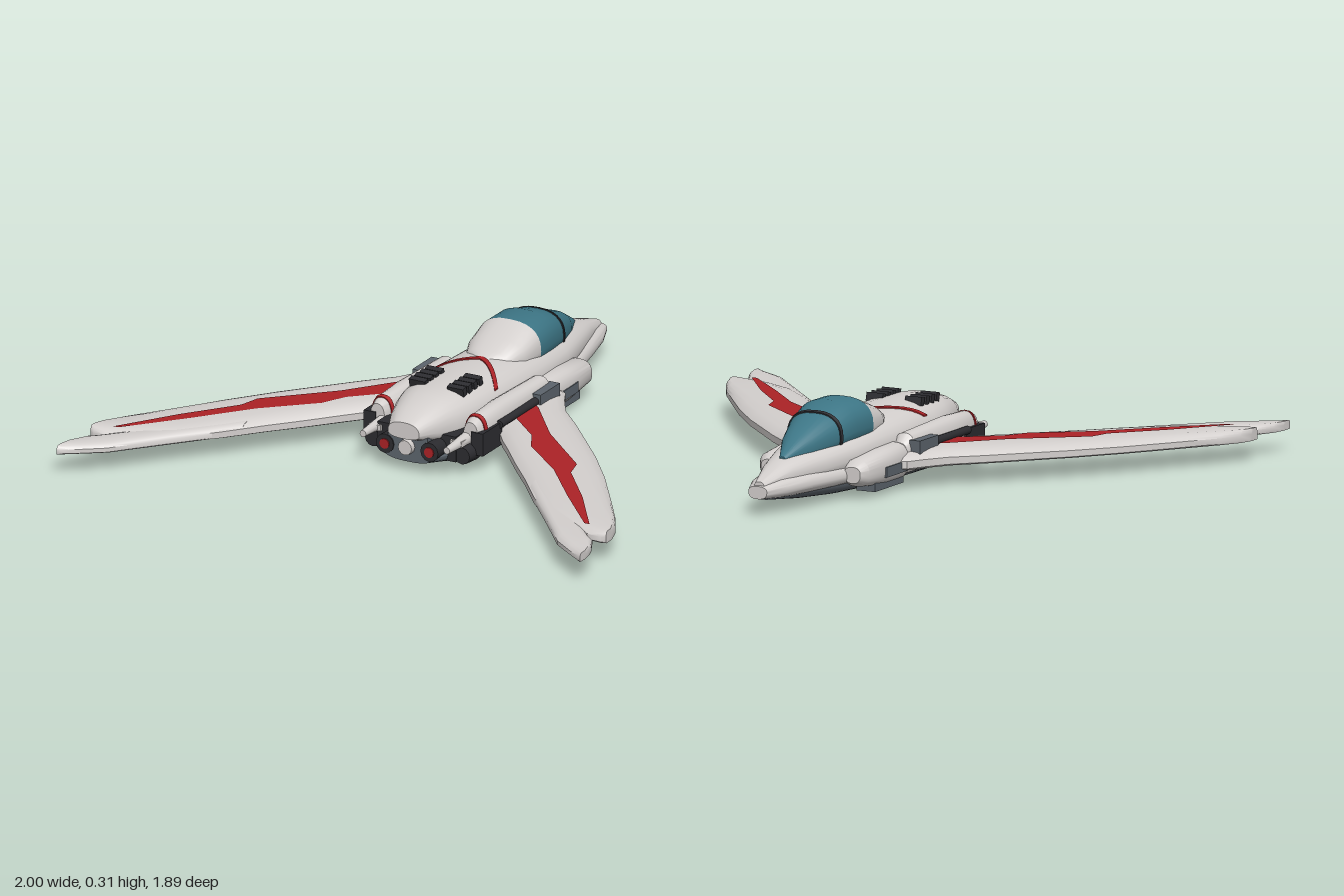
import * as THREE from 'three';
import { toCreasedNormals } from 'three/addons/utils/BufferGeometryUtils.js';

const paint = (name, color, side = THREE.FrontSide) => {
  const m = new THREE.MeshStandardMaterial({ color, side });
  m.name = name;
  return m;
};

// Skin a list of rings (arrays of [x, y, z]) and close both ends.
function loft(rings, crease = 0.6) {
  const n = rings[0].length, pos = rings.flat(2), idx = [];
  for (let i = 0; i < rings.length - 1; i++)
    for (let j = 0; j < n; j++) {
      const a = i * n + j, b = i * n + (j + 1) % n;
      idx.push(a, b, a + n, b, b + n, a + n);
    }
  const last = (rings.length - 1) * n;
  for (let j = 1; j < n - 1; j++) idx.push(0, j + 1, j, last, last + j, last + j + 1);
  const g = new THREE.BufferGeometry();
  g.setAttribute('position', new THREE.Float32BufferAttribute(pos, 3));
  g.setIndex(idx);
  return toCreasedNormals(g, crease);
}

// Body sections are [z, halfWidth, bottom, middle, top], rounded as a superellipse.
const POWER = 2.5;
function bodyRing([z, w, bottom, mid, top], cx = 0, sides = 28) {
  return Array.from({ length: sides }, (_, k) => {
    const a = k / sides * Math.PI * 2, c = Math.cos(a), s = Math.sin(a);
    const r = v => Math.sign(v) * Math.abs(v) ** (2 / POWER);
    return [cx + w * r(c), mid + r(s) * (s > 0 ? top - mid : mid - bottom), z];
  });
}
const body = (sections, cx = 0) => loft(sections.map(s => bodyRing(s, cx)));

function sectionAt(sections, z) {
  let i = 0;
  while (i < sections.length - 2 && z > sections[i + 1][0]) i++;
  const a = sections[i], b = sections[i + 1], t = (z - a[0]) / (b[0] - a[0]);
  return a.map((v, k) => v + (b[k] - v) * t);
}
function topOf(sections, x, z) {
  const [, w, , mid, top] = sectionAt(sections, z);
  return mid + (top - mid) * Math.max(0, 1 - Math.abs(x / w) ** POWER) ** (1 / POWER);
}

// Mirrored copy across x with the corner order restored.
function mirror(geo) {
  const g = geo.index ? geo.toNonIndexed() : geo.clone();
  g.scale(-1, 1, 1);
  for (const a of [g.attributes.position, g.attributes.normal])
    for (let i = 0; i < a.count; i += 3) {
      const p = [a.getX(i), a.getY(i), a.getZ(i)];
      a.setXYZ(i, a.getX(i + 2), a.getY(i + 2), a.getZ(i + 2));
      a.setXYZ(i + 2, ...p);
    }
  return g;
}

const wingTop = x => 0.13 - 0.02 * x;

// Wing stations are [x, leadingZ, trailingZ]; flat-topped profile with rounded edges.
function wing(stations, bottom, drop) {
  const profile = [[0, 0.55], [0.05, 0.75], [0.13, 0.9], [0.25, 1], [0.78, 1], [0.88, 0.9],
    [0.95, 0.75], [1, 0.55], [1, 0.12], [0.95, 0], [0.05, 0], [0, 0.12]];
  return loft(stations.map(([x, l, t]) => profile.map(([u, h]) =>
    [x, bottom + h * (wingTop(x) - drop - bottom), l + (t - l) * u])));
}

export function createModel() {
  const model = new THREE.Group();
  model.name = 'starfighter';
  const white = paint('hullWhite', 0xd3cfcd);
  const red = paint('stripeRed', 0xab2226, THREE.DoubleSide);
  const glass = paint('canopyTeal', 0x3d7686);
  const slate = paint('bellySlate', 0x5c646c);
  const dark = paint('engineDark', 0x2c2c30);

  const add = (name, geo, mat) => {
    const m = new THREE.Mesh(geo, mat);
    m.name = name;
    model.add(m);
  };
  const pair = (name, geo, mat) => {
    add(name + 'Left', geo, mat);
    add(name + 'Right', mirror(geo), mat);
  };
  const box = (w, h, d, x, y, z) => new THREE.BoxGeometry(w, h, d).translate(x, y, z);
  const rod = (r1, r2, len, x, y, z) =>
    new THREE.CylinderGeometry(r1, r2, len, 12).rotateX(Math.PI / 2).translate(x, y, z);

  // Fuselage: upper shell, wide lower rim and dark belly
  const upper = [[-0.935, 0.02, 0.08, 0.09, 0.112], [-0.8, 0.062, 0.07, 0.11, 0.158],
    [-0.65, 0.105, 0.07, 0.12, 0.185], [-0.5, 0.142, 0.06, 0.13, 0.205], [-0.3, 0.157, 0.06, 0.13, 0.228],
    [-0.1, 0.16, 0.06, 0.13, 0.237], [0.05, 0.156, 0.06, 0.13, 0.239], [0.15, 0.142, 0.07, 0.13, 0.238],
    [0.22, 0.122, 0.08, 0.13, 0.232], [0.3, 0.092, 0.1, 0.14, 0.21], [0.368, 0.06, 0.125, 0.145, 0.183]];
  add('upperFuselage', body(upper), white);
  add('lowerRim', body([[-0.945, 0.035, 0.055, 0.08, 0.098], [-0.86, 0.07, 0.047, 0.08, 0.115],
    [-0.74, 0.1, 0.042, 0.08, 0.125], [-0.56, 0.14, 0.04, 0.08, 0.13], [-0.4, 0.162, 0.035, 0.08, 0.13],
    [-0.2, 0.2, 0.035, 0.08, 0.13], [0.1, 0.2, 0.035, 0.08, 0.13], [0.22, 0.175, 0.04, 0.08, 0.13]]), white);
  add('belly', body([[-0.9, 0.03, 0.046, 0.065, 0.08], [-0.74, 0.08, 0.026, 0.065, 0.08],
    [-0.55, 0.12, 0.01, 0.06, 0.08], [-0.3, 0.16, 0, 0.06, 0.08], [0, 0.18, 0.004, 0.06, 0.08],
    [0.22, 0.15, 0.01, 0.06, 0.08], [0.34, 0.09, 0.035, 0.06, 0.08]]), slate);

  // Canopy glass, rear fairing and frame bar
  const canopy = [[-0.77, 0.012, 0.13, 0.155, 0.17], [-0.66, 0.062, 0.14, 0.18, 0.235],
    [-0.54, 0.1, 0.15, 0.2, 0.284], [-0.45, 0.115, 0.15, 0.215, 0.311], [-0.35, 0.12, 0.15, 0.215, 0.309],
    [-0.26, 0.11, 0.15, 0.21, 0.275], [-0.2, 0.085, 0.15, 0.2, 0.25], [-0.165, 0.04, 0.15, 0.2, 0.235]];
  add('canopyGlass', body(canopy.slice(0, 5)), glass);
  add('canopyFairing', body(canopy.slice(4)), white);
  add('canopyBar', body([-0.546, -0.534].map(z => {
    const s = sectionAt(canopy, z);
    return [z, s[1] + 0.004, s[2], s[3], s[4] + 0.004];
  })), dark);

  // Red chevron draped over the back
  const chevron = [];
  for (let i = 0; i <= 16; i++) {
    const x = (i / 8 - 1) * 0.137, z = -0.168 + 0.14 * (Math.abs(x) / 0.137) ** 1.3;
    const drape = (dz, lift) => [x, topOf(upper, x, z + dz) + lift, z + dz];
    chevron.push([drape(0, 0.004), drape(0.024, 0.004), drape(0.024, -0.003), drape(0, -0.003)]);
  }
  add('backChevron', loft(chevron), red);

  // Cooling vents
  for (let i = 0; i < 4; i++) {
    const z = 0.028 + i * 0.036;
    const g = box(0.062, 0.03, 0.022, 0, 0, 0).rotateX(0.25).translate(0.073, 0.234, z);
    pair('vent' + (i + 1), g, dark);
  }

  // Side nacelles, front pods and bands
  const nacelle = [[-0.27, 0.025, 0.05, 0.11, 0.15], [-0.24, 0.042, 0.045, 0.11, 0.18],
    [0.05, 0.045, 0.04, 0.11, 0.19], [0.19, 0.04, 0.05, 0.11, 0.185], [0.23, 0.028, 0.06, 0.11, 0.17]];
  pair('sideNacelle', body(nacelle, 0.178), white);
  pair('nacelleBand', body([0.185, 0.2].map(z => {
    const s = sectionAt(nacelle, z);
    return [z, s[1] + 0.003, s[2], s[3], s[4] + 0.003];
  }), 0.178), red);
  pair('frontPod', body([[-0.57, 0.03, 0.06, 0.09, 0.115], [-0.54, 0.05, 0.045, 0.09, 0.135],
    [-0.4, 0.055, 0.03, 0.09, 0.15], [-0.28, 0.055, 0.03, 0.09, 0.155], [-0.22, 0.04, 0.04, 0.09, 0.14]], 0.157), white);
  pair('podPanel', box(0.02, 0.035, 0.15, 0.205, 0.08, -0.36), slate);
  pair('podKeel', box(0.07, 0.03, 0.2, 0.16, 0.035, -0.38), slate);

  // Wing root machinery
  pair('rootBlockFront', box(0.04, 0.07, 0.13, 0.225, 0.125, -0.19), slate);
  pair('rootBlockRear', box(0.045, 0.08, 0.13, 0.205, 0.1, 0.17), dark);
  pair('rootPipe', rod(0.014, 0.014, 0.3, 0.225, 0.135, -0.03), dark);

  // Swept wings, each with a main blade and a trailing blade
  pair('mainWing', wing([[0.15, -0.36, 0.06], [0.23, -0.32, 0.12], [0.26, -0.26, 0.16], [0.31, -0.18, 0.215],
    [0.4, -0.09, 0.32], [0.5, 0.02, 0.43], [0.6, 0.13, 0.55], [0.72, 0.28, 0.67], [0.84, 0.45, 0.73],
    [0.93, 0.58, 0.75], [0.97, 0.65, 0.75], [0.985, 0.7, 0.742]], 0.068, 0), white);
  pair('trailingWing', wing([[0.55, 0.3, 0.49], [0.72, 0.55, 0.685], [0.81, 0.65, 0.79], [0.86, 0.69, 0.85],
    [0.93, 0.765, 0.9], [0.96, 0.79, 0.92], [0.99, 0.85, 0.94], [1, 0.9, 0.945]], 0.072, 0.007), white);

  // Wing stripes on both faces, tapering towards the tips
  const outline = [[0.225, -0.115], [0.25, -0.1], [0.4, 0.085], [0.61, 0.275], [0.63, 0.35], [0.77, 0.52],
    [0.91, 0.72], [0.89, 0.72], [0.72, 0.535], [0.57, 0.36], [0.4, 0.215], [0.355, 0.13], [0.225, 0.015]];
  for (const [name, height] of [['wingStripeTop', x => wingTop(x) + 0.003], ['wingStripeBottom', () => 0.065]]) {
    const g = new THREE.ShapeGeometry(new THREE.Shape(outline.map(p => new THREE.Vector2(...p))));
    const p = g.attributes.position;
    for (let i = 0; i < p.count; i++) p.setXYZ(i, p.getX(i), height(p.getX(i)), p.getY(i));
    if (name === 'wingStripeTop') g.setIndex([...g.index.array].reverse());
    g.computeVertexNormals();
    pair(name, g, red);
  }

  // Engine bay, nozzles and rear prongs
  add('engineBay', box(0.3, 0.09, 0.12, 0, 0.085, 0.22), dark);
  add('tailBlock', box(0.15, 0.06, 0.08, 0, 0.1, 0.3), slate);
  add('centreNozzle', rod(0.026, 0.032, 0.08, 0, 0.09, 0.32), white);
  pair('innerNozzle', rod(0.034, 0.03, 0.09, 0.085, 0.085, 0.3), dark);
  pair('nozzleCore', rod(0.018, 0.018, 0.01, 0.085, 0.085, 0.344), red);
  pair('outerNozzle', rod(0.03, 0.036, 0.07, 0.17, 0.065, 0.24), dark);
  pair('rearProng', rod(0.012, 0.024, 0.16, 0.16, 0.11, 0.28), white);
  pair('prongFin', box(0.045, 0.02, 0.07, 0.155, 0.11, 0.255), white);

  return model;
}
